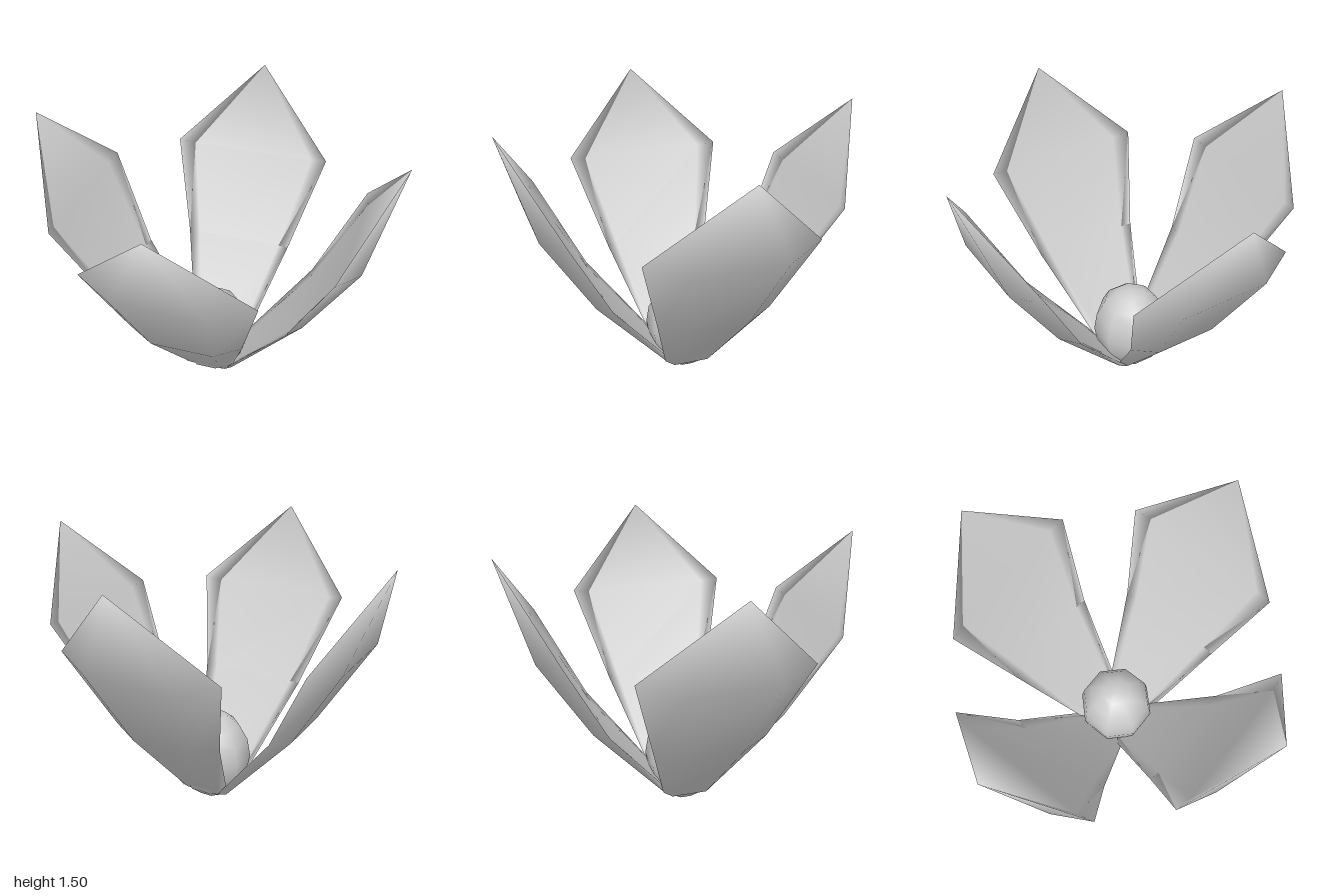
import * as THREE from 'three';

const material = new THREE.MeshStandardMaterial({ color: 0xcccccc, side: THREE.DoubleSide });

// Cross-sections from base to widest level; each point is [out, up, half width]
const rows = [
  { rim: [0.11, 0.09, 0.145], outer: [0.143, 0.075, 0.10], inner: [0.115, 0.088, 0.11] },
  { rim: [0.50, 0.58, 0.31], outer: [0.56, 0.54, 0.17], inner: [0.51, 0.575, 0.25] },
  { rim: [0.75, 1.06, 0.455], outer: [0.85, 1.01, 0.25], inner: [0.77, 1.04, 0.36] },
];
const tip = [1, 1.5];

// A solid blade: six-sided sections with a sharp rim, keeled outside, nearly flat inside
function petalGeometry() {
  const positions = [];
  const index = [];
  for (const { rim, outer, inner } of rows) {
    const loop = [[rim, -1], [outer, -1], [outer, 1], [rim, 1], [inner, 1], [inner, -1]];
    for (const [[out, up, half], side] of loop) positions.push(half * side, up, out);
  }
  positions.push(0, tip[1], tip[0]);
  const last = rows.length - 1;
  for (let c = 0; c < 6; c++) {
    const next = (c + 1) % 6;
    for (let r = 0; r < last; r++) {
      const a = r * 6 + c;
      const b = r * 6 + next;
      index.push(a, b, b + 6, a, b + 6, a + 6);
    }
    index.push(last * 6 + c, last * 6 + next, rows.length * 6);
  }
  const geometry = new THREE.BufferGeometry();
  geometry.setAttribute('position', new THREE.Float32BufferAttribute(positions, 3));
  geometry.setIndex(index);
  geometry.computeVertexNormals();
  return geometry;
}

export function createModel() {
  const group = new THREE.Group();
  group.name = 'flower';

  // Egg-shaped heart of the flower, flats facing the petals
  const heart = new THREE.Mesh(new THREE.SphereGeometry(1, 8, 8), material);
  heart.name = 'flowerHeart';
  heart.scale.set(0.215, 0.26, 0.215);
  heart.rotation.y = Math.PI / 8;
  heart.position.y = 0.26;
  group.add(heart);

  // Four petals around the heart
  const geometry = petalGeometry();
  ['frontPetal', 'leftPetal', 'backPetal', 'rightPetal'].forEach((name, i) => {
    const petal = new THREE.Mesh(geometry, material);
    petal.name = name;
    petal.rotation.y = (i * Math.PI) / 2;
    if (i % 2 === 0) petal.position.z = i === 0 ? -0.015 : 0.015;
    group.add(petal);
  });

  return group;
}
